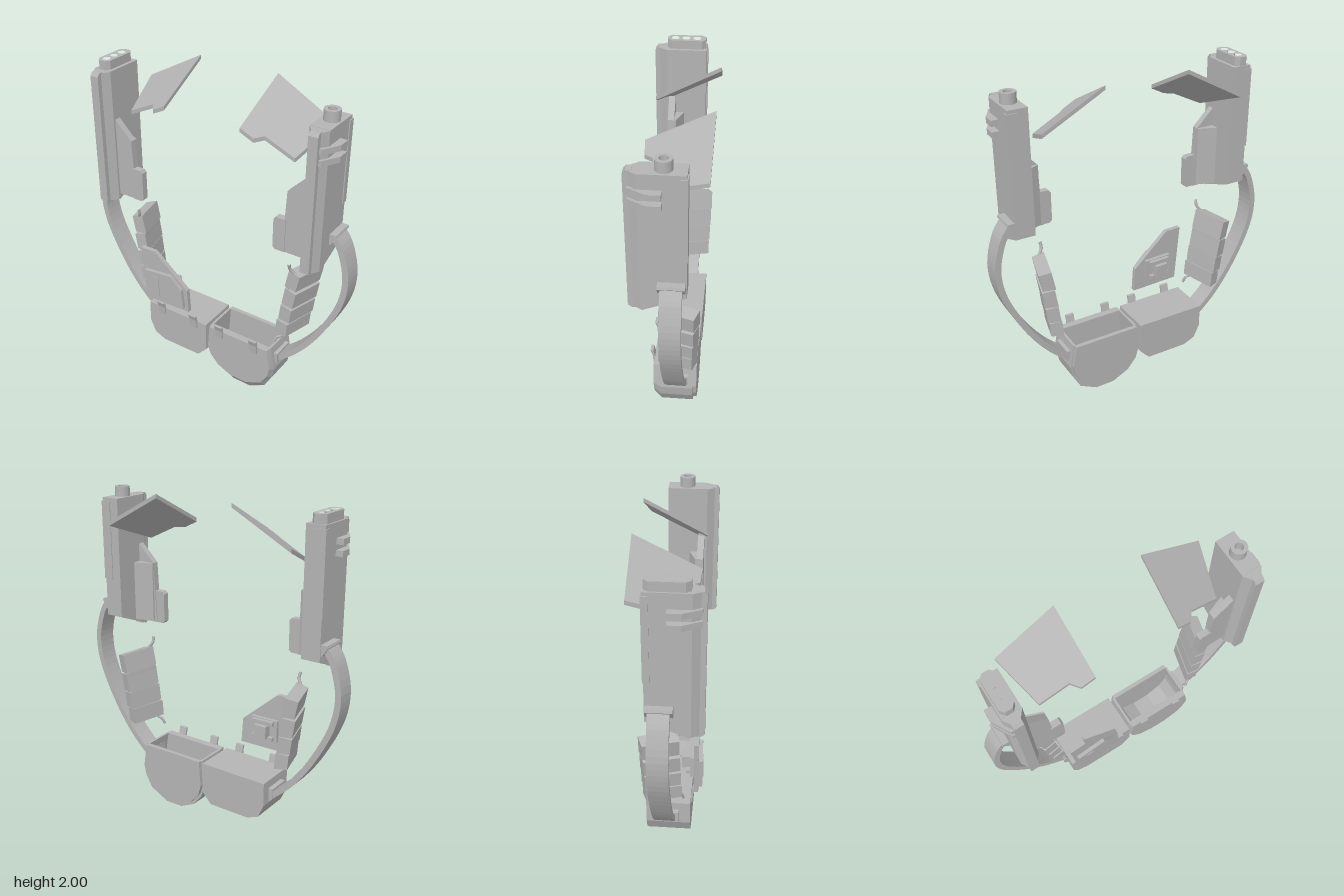
import * as THREE from 'three';

export function createModel() {
  const model = new THREE.Group();
  const grey = new THREE.MeshStandardMaterial({ color: 0xb4b4b4 });
  grey.name = 'plain grey';

  function add(name, geometry) {
    const mesh = new THREE.Mesh(geometry, grey);
    mesh.name = name;
    model.add(mesh);
    return mesh;
  }
  function extrude(points, depth, holes = []) {
    const shape = new THREE.Shape(points.map(([a, b]) => new THREE.Vector2(a, b)));
    for (const [a, b, r] of holes) shape.holes.push(new THREE.Path().absarc(a, b, r, 0, Math.PI * 2, true));
    return new THREE.ExtrudeGeometry(shape, { depth, bevelEnabled: false, curveSegments: 10 });
  }
  // Move every vertex by a rule
  function reshape(geometry, rule) {
    const p = geometry.attributes.position;
    for (let i = 0; i < p.count; i++) p.setXYZ(i, ...rule(p.getX(i), p.getY(i), p.getZ(i)));
    geometry.computeVertexNormals();
    return geometry;
  }
  // Outline in x, y; s mirrors it to the other side
  const frontGeometry = (pts, z0, z1, s = 1) =>
    extrude(pts.map(([x, y]) => [s * x, y]), z1 - z0).translate(0, 0, z0);
  const frontPlate = (name, ...args) => add(name, frontGeometry(...args));
  // Outline in z, y, extruded across x
  const sidePlate = (name, pts, x0, x1, s = 1) =>
    add(name, extrude(pts.map(([z, y]) => [-z, y]), x1 - x0).rotateY(Math.PI / 2).translate(s > 0 ? x0 : -x1, 0, 0));
  // Outline in x, z, extruded upward
  const topGeometry = (pts, y0, y1, s = 1, holes = []) =>
    extrude(pts.map(([x, z]) => [s * x, -z]), y1 - y0, holes.map(([x, z, r]) => [s * x, -z, r]))
      .rotateX(-Math.PI / 2).translate(0, y0, 0);
  const box = (name, x0, x1, y0, y1, z0, z1, s = 1) =>
    add(name, new THREE.BoxGeometry(x1 - x0, y1 - y0, z1 - z0)
      .translate(s * (x0 + x1) / 2, (y0 + y1) / 2, (z0 + z1) / 2));

  for (const s of [-1, 1]) {
    // Tall column with a slanted foot and a chamfered front ridge
    sidePlate('columnBody', [[-0.1, 1.92], [0.135, 1.92], [0.135, 1.09], [-0.1, 1.185]], 0.642, 0.757, s);
    add('columnFront', topGeometry([[0.642, 0.12], [0.757, 0.12], [0.757, 0.14], [0.73, 0.182], [0.675, 0.182], [0.642, 0.138]], 1.095, 1.918, s));
    sidePlate('columnRidge', [[0.165, 1.92], [0.195, 1.92], [0.21, 1.9], [0.21, 1.1], [0.19, 1.085], [0.13, 1.085]], 0.675, 0.73, s);
    box('columnRearStrip', 0.7, 0.763, 1.42, 1.9, -0.105, -0.068, s);
    for (const y of [1.74, 1.803]) {
      add('columnBar', topGeometry([[0.735, 0.02], [0.8, 0.02], [0.8, 0.09], [0.745, 0.19], [0.72, 0.19]], y, y + 0.033, s));
    }

    // Stepped pad near the front of the column, thickening toward it
    frontPlate('columnPad', [[0.66, 1.62], [0.64, 1.62], [0.53, 1.51], [0.522, 1.34], [0.51, 1.13], [0.66, 1.13]], 0.085, 0.125, s);
    add('columnPadWedge', topGeometry([[0.65, 0.03], [0.65, 0.1], [0.53, 0.1], [0.53, 0.075]], 1.14, 1.51, s));
    frontPlate('columnPadTab', [[0.53, 1.335], [0.468, 1.335], [0.455, 1.32], [0.455, 1.145], [0.47, 1.13], [0.53, 1.13]], 0.09, 0.13, s);

    // Tilted shoulder flap: a notched plate sheared onto its plane
    const flap = topGeometry([[0.62, -0.2], [0.255, -0.205], [0.248, 0.16], [0.33, 0.155], [0.37, 0.105], [0.545, 0.09]], -0.012, 0.012, s);
    add('shoulderFlap', reshape(flap, (x, y, z) => [x, y + 1.79 + 0.53 * (0.62 - Math.abs(x)) - 0.52 * (z + 0.2), z]));

    // Curved strap from column to pouch
    const path = new THREE.SplineCurve([[0.775, 1.262], [0.83, 1.17], [0.867, 1.0], [0.835, 0.81],
      [0.72, 0.575], [0.595, 0.4], [0.465, 0.275]].map(([x, y]) => new THREE.Vector2(x, y)));
    const outer = [], inner = [];
    for (let i = 0; i <= 28; i++) {
      const c = path.getPoint(i / 28), t = path.getTangent(i / 28);
      outer.push([c.x - t.y * 0.018, c.y + t.x * 0.018]);
      inner.unshift([c.x + t.y * 0.018, c.y - t.x * 0.018]);
    }
    frontPlate('strap', [...outer, ...inner], -0.08, 0.035, s);
    frontPlate('strapMount', [[0.74, 1.285], [0.795, 1.285], [0.8, 1.27], [0.765, 1.22], [0.74, 1.22]], -0.095, 0.05, s);
    frontPlate('strapBuckle', [[0.44, 0.33], [0.478, 0.325], [0.478, 0.26], [0.45, 0.235], [0.44, 0.24]], -0.085, 0.055, s);

    // Leaning stack of four tapered cells, turned to wrap around the wearer
    const cells = [[0.583, 0.9, 0.122], [0.568, 0.776, 0.118], [0.551, 0.66, 0.106], [0.533, 0.553, 0.1]];
    cells.forEach(([x, y, h], i) => {
      const taper = (a, b, c) => (a * s > 0 ? [a, b * 0.9, c * 0.9] : [a, b, c]);
      const cell = add('cell', reshape(new THREE.BoxGeometry(0.075, h, 0.228), taper));
      cell.position.set(s * x, y, -0.04 + i * 0.004);
      cell.rotation.set(0, -s * 0.25, -s * (0.2 - i * 0.04), 'ZYX');
    });
    const backing = add('cellBacking', new THREE.BoxGeometry(0.02, 0.44, 0.2));
    backing.position.set(s * 0.535, 0.73, -0.038);
    backing.rotation.set(0, -s * 0.25, -s * 0.13, 'ZYX');
    // Thin hooks above and below the stack
    for (const pts of [[[0.575, 0.95], [0.555, 0.97], [0.54, 0.995], [0.542, 1.03]],
      [[0.52, 0.52], [0.505, 0.49], [0.48, 0.475], [0.465, 0.44]]]) {
      const curve = new THREE.CatmullRomCurve3(pts.map(([x, y], i) => new THREE.Vector3(s * x, y, 0.05 + i * 0.011)));
      add('cellHook', new THREE.TubeGeometry(curve, 10, 0.009, 6));
    }

    // Pouch tabs
    for (const x of [0.072, 0.322]) {
      sidePlate('pouchTab', [[0.12, 0.33], [0.13, 0.33], [0.135, 0.39], [0.147, 0.425], [0.13, 0.425], [0.12, 0.38]], x, x + 0.053, s);
    }
  }

  // Column caps: three-hole block on the right, hollow round post on the left
  add('threeHoleCap', topGeometry([[-0.725, -0.095], [-0.685, -0.095], [-0.663, -0.07], [-0.663, 0.11], [-0.685, 0.135],
    [-0.725, 0.135], [-0.747, 0.11], [-0.747, -0.07]], 1.92, 1.972, 1, [-0.04, 0.025, 0.09].map(z => [-0.705, z, 0.024])));
  const post = new THREE.LatheGeometry([[0.024, 1.92], [0.045, 1.92], [0.045, 1.98], [0.024, 1.98], [0.024, 1.92]]
    .map(([r, y]) => new THREE.Vector2(r, y)), 20).toNonIndexed();
  post.computeVertexNormals();
  add('roundPost', post).position.set(0.7, 0, 0.015);

  // Closed right pouch with clipped corners
  frontPlate('closedPouch', [[-0.452, 0.378], [-0.007, 0.378], [-0.005, 0.185], [-0.07, 0.116], [-0.34, 0.116], [-0.415, 0.148], [-0.452, 0.23]], -0.14, 0.122);

  // Open left pouch: U-shaped wall between a bevelled front and a rear plate
  const rim = [[0.012, 0.378], [0, 0.2], [0.02, 0.13], [0.08, 0.055], [0.18, 0.005], [0.3, 0.003], [0.41, 0.06], [0.46, 0.15], [0.472, 0.22], [0.448, 0.378]];
  const lining = rim.map(([x, y]) => [0.235 + (x - 0.235) * 0.93, y > 0.37 ? y : y * 0.92 + 0.028]).reverse();
  frontPlate('openPouchWall', [...rim, ...lining], -0.115, 0.08);
  add('openPouchFront', reshape(frontGeometry(rim, 0.078, 0.122),
    (x, y, z) => (z > 0.1 ? [0.235 + (x - 0.235) * 0.96, y > 0.37 ? y : y * 0.84 + 0.058, z] : [x, y, z])));
  frontPlate('openPouchRear', rim.map(([x, y]) => [0.235 + (x - 0.235) * 0.96, y > 0.37 ? y : y * 0.93 + 0.026]), -0.138, -0.112);

  // Small clipped panel on the right side, with raised plate, slot frame and rear catch
  const panel = new THREE.Group();
  panel.name = 'sidePanel';
  panel.add(
    frontPlate('panelPlate', [[-0.47, 0.822], [-0.365, 0.822], [-0.13, 0.615], [-0.12, 0.457], [-0.438, 0.457]], 0.122, 0.15),
    frontPlate('raisedPlate', [[-0.435, 0.68], [-0.24, 0.695], [-0.16, 0.615], [-0.145, 0.487], [-0.425, 0.487]], 0.145, 0.173),
    frontPlate('slotFrame', [[-0.375, 0.65], [-0.33, 0.655], [-0.32, 0.515], [-0.364, 0.515]], 0.17, 0.178),
    box('rearCatchBase', -0.38, -0.2, 0.52, 0.66, 0.1, 0.13),
    box('rearCatchBlock', -0.33, -0.25, 0.55, 0.63, 0.05, 0.1));
  for (const y of [0.53, 0.63]) panel.add(box('rearCatchArm', -0.36, -0.22, y, y + 0.025, 0.075, 0.105));
  panel.rotation.y = 0.04;
  model.add(panel);

  return model;
}
